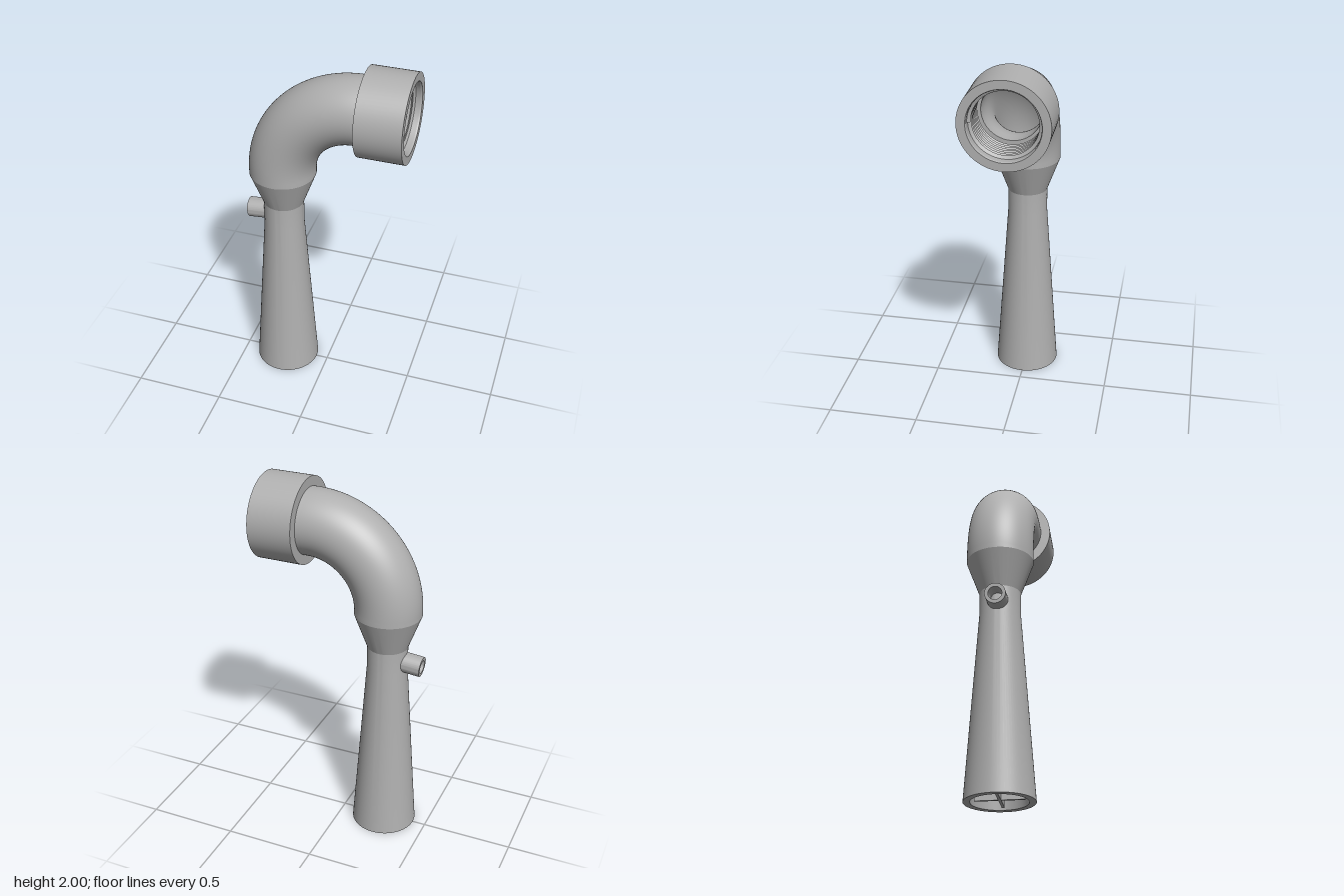
import * as THREE from 'three';
import { toCreasedNormals } from 'three/addons/utils/BufferGeometryUtils.js';

const AXIS_X = -0.247;   // vertical pipe axis
const BEND = 0.42;       // elbow centreline radius
const BEND_Y = 1.347;    // height where the bend starts
const SEGMENTS = 72;

// Revolve a list of [radius, height] pairs
function lathe(points) {
  return new THREE.LatheGeometry(points.map(([r, h]) => new THREE.Vector2(r, h)), SEGMENTS);
}

export function createModel() {
  const group = new THREE.Group();
  const grey = new THREE.MeshStandardMaterial({ color: 0xb0b0b0, side: THREE.DoubleSide });
  grey.name = 'grey';

  function add(name, geometry, x, y) {
    const mesh = new THREE.Mesh(geometry, grey);
    mesh.name = name;
    mesh.position.set(x, y, 0);
    group.add(mesh);
    return mesh;
  }

  // Tapered lower pipe with narrow throat, flare and hollow bore
  add('lowerPipe', toCreasedNormals(lathe([
    [0.145, 0], [0.18, 0], [0.11, 1.0], [0.11, 1.13], [0.18, 1.32], [0.18, BEND_Y],
    [0.155, BEND_Y], [0.155, 1.32], [0.078, 1.13], [0.078, 1.0], [0.145, 0],
  ]), 0.3), AXIS_X, 0);

  // Crossed vanes inside the outlet
  for (let i = 0; i < 2; i++) {
    const vane = add('outletVane', new THREE.BoxGeometry(0.25, 0.3, 0.014), AXIS_X, 0.16);
    vane.rotation.y = i * Math.PI / 2;
  }

  // Quarter-turn elbow, outer skin and bore
  for (const [name, r] of [['elbow', 0.18], ['elbowBore', 0.155]]) {
    const geometry = new THREE.TorusGeometry(BEND, r, SEGMENTS, 48, Math.PI / 2);
    geometry.rotateZ(Math.PI / 2);
    add(name, geometry, AXIS_X + BEND, BEND_Y);
  }

  // Coupling: short pipe stub, wide sleeve, chamfered socket
  const coupling = lathe([
    [0.18, 0.173], [0.18, 0.2], [0.233, 0.2], [0.233, 0.445], [0.188, 0.445],
    [0.184, 0.436], [0.184, 0.235], [0.155, 0.235], [0.155, 0.173],
  ]);
  coupling.rotateZ(-Math.PI / 2);
  add('coupling', toCreasedNormals(coupling, 0.3), 0, BEND_Y + BEND);

  // Helical thread: zigzag profile advanced by one pitch per turn
  const pitch = 0.02;
  const turns = 8;
  const profile = [];
  for (let i = turns; i >= 0; i--) {
    profile.push([0.1835, 0.24 + i * pitch]);
    if (i > 0) profile.push([0.167, 0.24 + (i - 0.5) * pitch]);
  }
  const thread = lathe(profile);
  const pos = thread.attributes.position;
  const uv = thread.attributes.uv;
  for (let i = 0; i < pos.count; i++) pos.setY(i, pos.getY(i) + uv.getX(i) * pitch);
  thread.rotateZ(-Math.PI / 2);
  add('socketThread', toCreasedNormals(thread, 0.3), 0, BEND_Y + BEND);

  // Small hollow side nipple, square to the tapered wall
  const nipple = add('sideNipple', toCreasedNormals(lathe([
    [0.055, 0], [0.055, 0.11], [0.036, 0.11], [0.036, 0],
  ]), 0.3), -0.335, 1.05);
  nipple.rotation.z = Math.PI / 2 + 0.09;

  return group;
}
